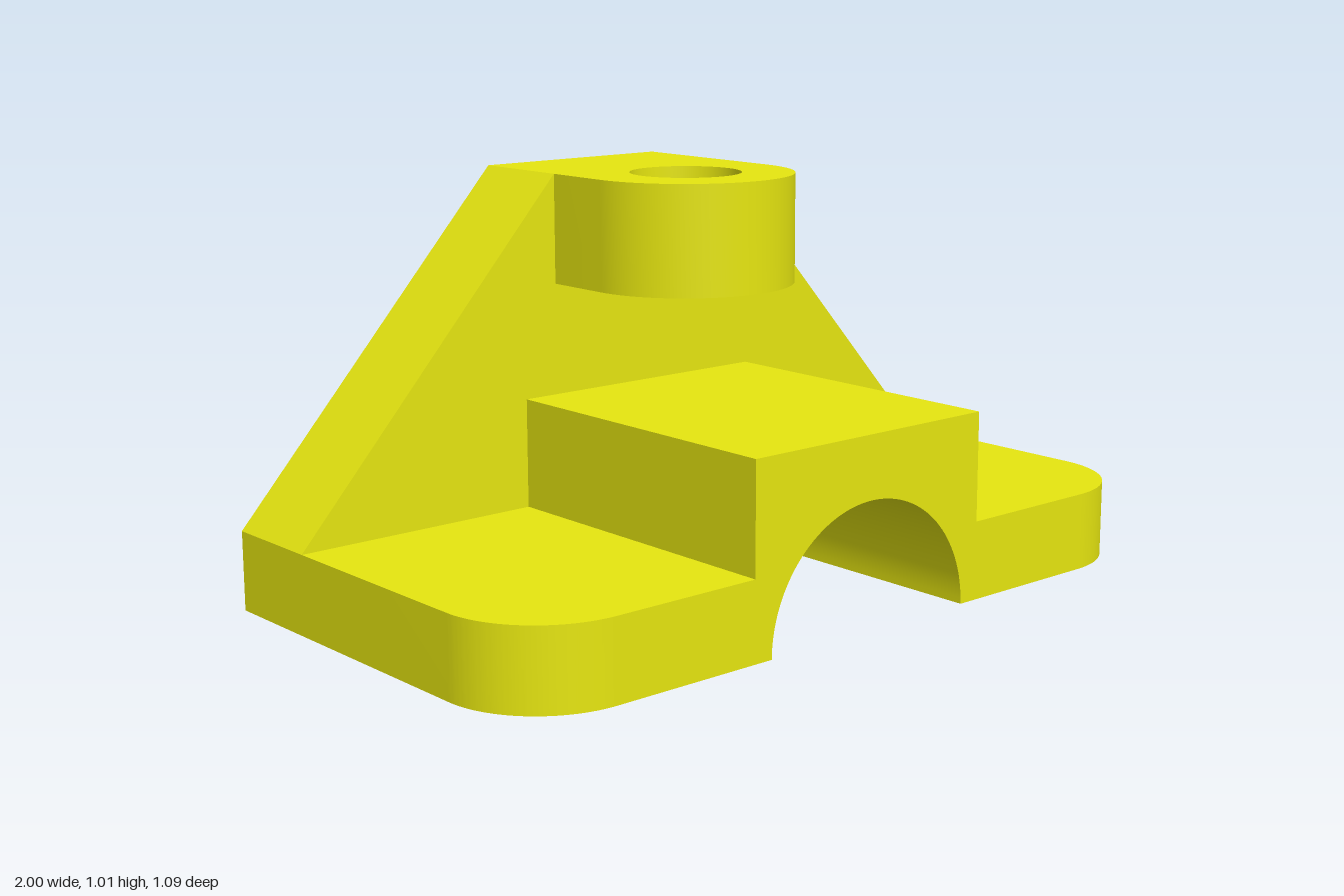
import * as THREE from 'three';
import { toCreasedNormals } from 'three/addons/utils/BufferGeometryUtils.js';

const BACK = -0.546, WALL = -0.277, FRONT = 0.546; // z planes
const BASE_TOP = 0.195, SADDLE_TOP = 0.465, TOP = 1.008;
const LUG_R = 0.267, SADDLE_X = 0.36;

const material = new THREE.MeshStandardMaterial({ color: 0xe6e610 });

function extrude(shape, depth) {
  return new THREE.ExtrudeGeometry(shape, { depth, bevelEnabled: false, curveSegments: 32 });
}

function addPart(group, name, geometry) {
  const mesh = new THREE.Mesh(toCreasedNormals(geometry, 0.5), material);
  mesh.name = name;
  group.add(mesh);
}

// Profile in x/y, extruded from z0 to z1
const frontProfile = (shape, z0, z1) => extrude(shape, z1 - z0).translate(0, 0, z0);

// Plan in x/z, extruded from y0 up to y1
const plan = (shape, y0, y1) => extrude(shape, y1 - y0).rotateX(Math.PI / 2).translate(0, y1, 0);

export function createModel() {
  const group = new THREE.Group();
  group.name = 'bracket';

  // Tapered back wall, including the back strip of the base
  const wall = new THREE.Shape([
    [-1, 0], [1, 0], [1, BASE_TOP], [LUG_R, TOP], [-LUG_R, TOP], [-1, BASE_TOP],
  ].map(([x, y]) => new THREE.Vector2(x, y)));
  addPart(group, 'backWall', frontProfile(wall, BACK, WALL));

  // Raised saddle with a half-round channel that stops at the wall
  const r = 0.31;
  const saddle = new THREE.Shape();
  saddle.moveTo(r, 0);
  saddle.lineTo(SADDLE_X, 0);
  saddle.lineTo(SADDLE_X, SADDLE_TOP);
  saddle.lineTo(-SADDLE_X, SADDLE_TOP);
  saddle.lineTo(-SADDLE_X, 0);
  saddle.lineTo(-r, 0);
  saddle.absarc(0, 0, r, Math.PI, 0, true);
  addPart(group, 'saddle', frontProfile(saddle, WALL, FRONT));

  // Base flanges with rounded front corners
  const c = 0.25;
  for (const s of [1, -1]) {
    const flange = new THREE.Shape();
    flange.moveTo(s * SADDLE_X, WALL);
    flange.lineTo(s, WALL);
    flange.lineTo(s, FRONT - c);
    flange.absarc(s * (1 - c), FRONT - c, c, s > 0 ? 0 : Math.PI, Math.PI / 2, s < 0);
    flange.lineTo(s * SADDLE_X, FRONT);
    addPart(group, s > 0 ? 'leftFlange' : 'rightFlange', plan(flange, 0, BASE_TOP));
  }

  // Overhanging lug with a vertical through hole
  const lugZ = -0.1;
  const lug = new THREE.Shape();
  lug.moveTo(-LUG_R, WALL);
  lug.lineTo(LUG_R, WALL);
  lug.lineTo(LUG_R, lugZ);
  lug.absarc(0, lugZ, LUG_R, 0, Math.PI, false);
  lug.holes.push(new THREE.Path().absarc(0, lugZ, 0.137, 0, Math.PI * 2, true));
  addPart(group, 'lug', plan(lug, 0.74, TOP));

  return group;
}
